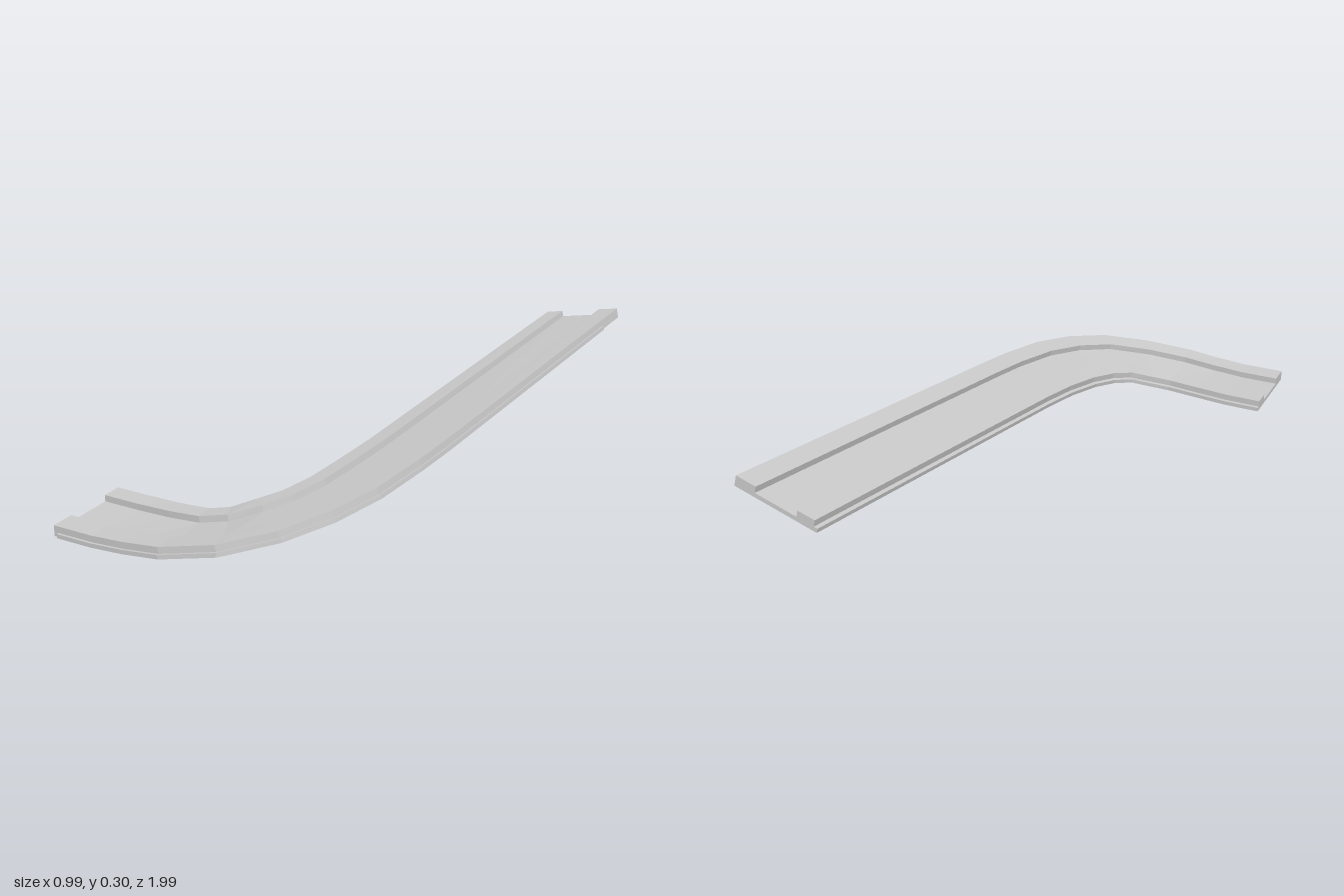
import * as THREE from 'three';

// Stations along the track: bottom inner edge and bottom outer edge
const STATIONS = [
  [[-0.5, 0, 0.672], [-0.495, 0, 0.98]],
  [[-0.38, 0, 0.677], [-0.36, 0, 0.984]],
  [[-0.26, 0.004, 0.686], [-0.25, 0.007, 0.988]],
  [[-0.16, 0.01, 0.69], [-0.13, 0.02, 0.99]],
  [[-0.1, 0.02, 0.672], [0.03, 0.045, 0.95]],
  [[-0.04, 0.042, 0.63], [0.17, 0.078, 0.855]],
  [[0.005, 0.053, 0.575], [0.26, 0.103, 0.73]],
  [[0.042, 0.066, 0.485], [0.32, 0.125, 0.58]],
  [[0.07, 0.083, 0.35], [0.355, 0.145, 0.39]],
  [[0.09, 0.096, 0.21], [0.373, 0.158, 0.24]],
  [[0.208, 0.205, -0.988], [0.493, 0.265, -0.953]],
].map(s => s.map(p => new THREE.Vector3(...p)));

const SLAB = 0.013, WALL = 0.033;

const mix = (a, b, t) => a.map((p, i) => p.clone().lerp(b[i], t));

// Sweep a closed counter-clockwise profile of [fraction across, height]
function sweep(name, profile, stations) {
  const n = profile.length, last = stations.length - 1;
  const pos = [], index = [];
  const mid = s => s[0].clone().add(s[1]).multiplyScalar(0.5);
  stations.forEach((s, i) => {
    const along = mid(stations[Math.min(i + 1, last)]).sub(mid(stations[Math.max(i - 1, 0)]));
    const across = s[1].clone().sub(s[0]);
    const up = across.clone().cross(along).normalize();
    for (const [u, h] of profile) {
      pos.push(...s[0].clone().addScaledVector(across, u).addScaledVector(up, h).toArray());
    }
  });
  for (let i = 0; i < last; i++) {
    for (let j = 0; j < n; j++) {
      const k = (j + 1) % n;
      const a = i * n + j, b = i * n + k, c = a + n, d = b + n;
      index.push(a, d, b, a, c, d);
    }
  }
  // End caps
  const outline = profile.map(p => new THREE.Vector2(...p));
  for (const [a, b, c] of THREE.ShapeUtils.triangulateShape(outline, [])) {
    index.push(a, b, c, last * n + a, last * n + c, last * n + b);
  }
  const geo = new THREE.BufferGeometry();
  geo.setAttribute('position', new THREE.Float32BufferAttribute(pos, 3));
  geo.setIndex(index);
  geo.computeVertexNormals();
  const mesh = new THREE.Mesh(geo, new THREE.MeshStandardMaterial({ color: 0xcccccc, flatShading: true }));
  mesh.name = name;
  return mesh;
}

export function createModel() {
  const group = new THREE.Group();
  group.name = 'bankedTrack';

  // Road slab with an inner ledge and a raised flat kerb on each side
  group.add(sweep('roadWithKerbs', [
    [0, 0], [1, 0], [1, WALL], [0.755, WALL], [0.755, SLAB],
    [0.25, SLAB], [0.25, WALL], [0.045, WALL], [0.045, SLAB], [0, SLAB],
  ], STATIONS));

  // Narrow outer ledge, stopping short of both ends
  const inset = STATIONS.slice();
  const e = inset.length - 1;
  inset[0] = mix(STATIONS[0], STATIONS[1], 0.11);
  inset[e] = mix(STATIONS[e - 1], STATIONS[e], 0.887);
  group.add(sweep('outerLedge', [[0.99, 0], [1.025, 0], [1.025, SLAB], [0.99, SLAB]], inset));

  return group;
}
